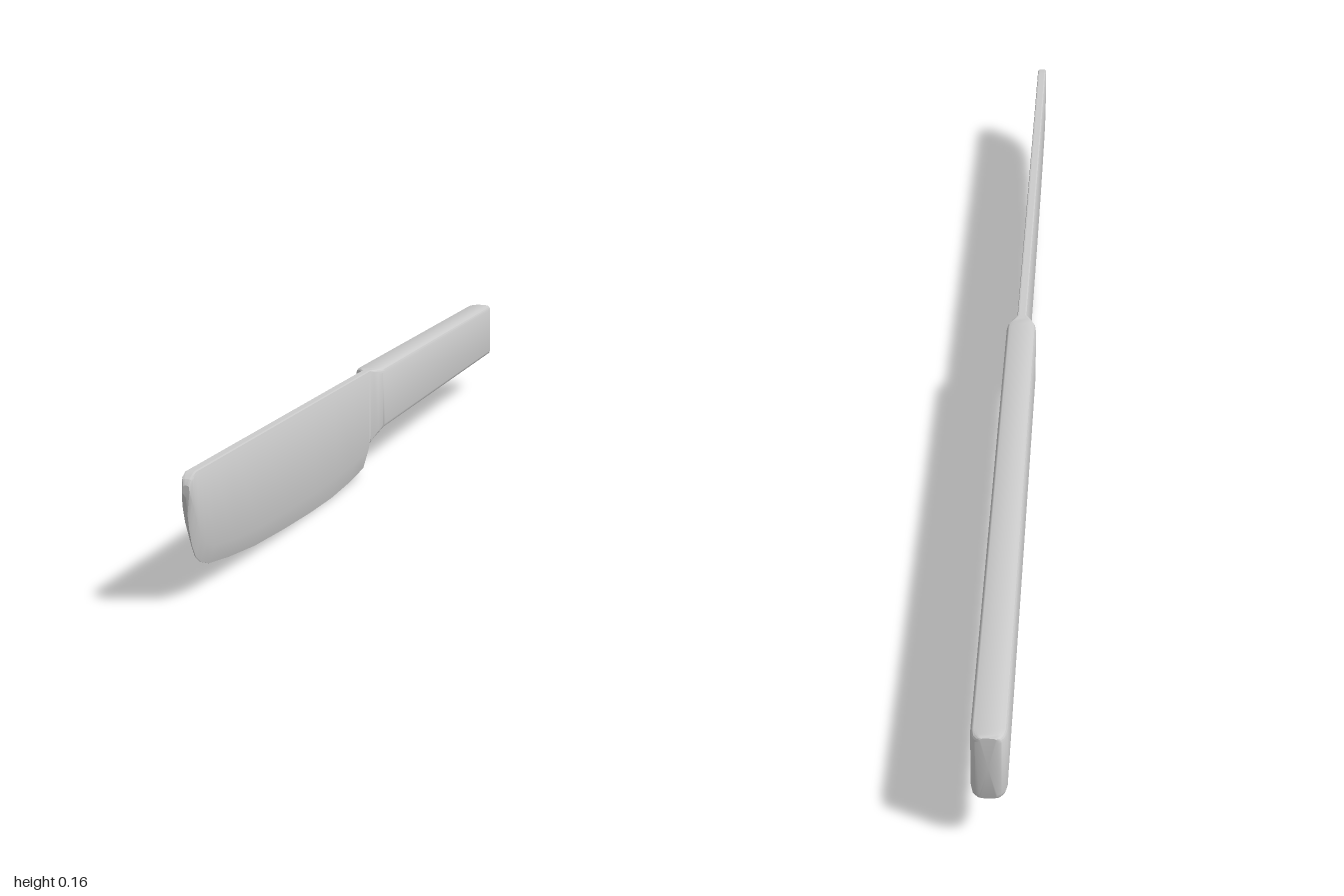
import * as THREE from 'three';
import { toCreasedNormals } from 'three/addons/utils/BufferGeometryUtils.js';

const TOP = 0.158;

// Skin a list of { z, ring } sections (rings counter-clockwise seen from +z) and cap both ends
function loft(sections, crease) {
  const positions = [], index = [];
  const n = sections[0].ring.length;
  for (const { z, ring } of sections) for (const [x, y] of ring) positions.push(x, y, z);
  for (let i = 0; i < sections.length - 1; i++) {
    for (let j = 0; j < n; j++) {
      const a = i * n + j, b = i * n + (j + 1) % n;
      index.push(a, b, b + n, a, b + n, a + n);
    }
  }
  for (const end of [0, sections.length - 1]) {
    const { z, ring } = sections[end];
    const ys = ring.map(p => p[1]);
    const centre = positions.length / 3;
    positions.push(0, (Math.min(...ys) + Math.max(...ys)) / 2, z);
    for (let j = 0; j < n; j++) {
      const a = end * n + j, b = end * n + (j + 1) % n;
      if (end === 0) index.push(centre, b, a);
      else index.push(centre, a, b);
    }
  }
  const geometry = new THREE.BufferGeometry();
  geometry.setAttribute('position', new THREE.Float32BufferAttribute(positions, 3));
  geometry.setIndex(index);
  return toCreasedNormals(geometry, crease);
}

// Complete a right-hand half section (bottom to top) with its mirror image
function mirrored(half) {
  return [...half, ...half.slice().reverse().map(([x, y]) => [-x, y])];
}

// Rounded rectangle section of the handle
function handleRing(w, bottom, top) {
  const r = Math.min(0.007, w * 0.5), half = [];
  for (const [cy, start] of [[bottom + r, -Math.PI / 2], [top - r, 0]]) {
    for (let k = 0; k <= 4; k++) {
      const a = start + (k / 4) * Math.PI / 2;
      half.push([w - r + r * Math.cos(a), cy + r * Math.sin(a)]);
    }
  }
  return mirrored(half);
}

// Blade section: softened spine, flat sides, bevel down to a sharp edge
function bladeRing(w, edge, bevel, top) {
  const c = Math.min(0.003, (top - bevel) * 0.3);
  return mirrored([[0.0004, edge], [w, bevel], [w, top - c], [w - c * 0.3, top - c * 0.3], [w - c, top]]);
}

export function createModel() {
  const group = new THREE.Group();
  const material = new THREE.MeshStandardMaterial({ color: 0xcccccc });
  const add = (name, geometry) => {
    const mesh = new THREE.Mesh(geometry, material);
    mesh.name = name;
    group.add(mesh);
  };

  // Handle with rounded butt, narrowing at the front into the blade: z, half width, bottom
  const handle = [
    [-1, 0.011, 0.066], [-0.998, 0.016, 0.065], [-0.992, 0.02, 0.064], [-0.98, 0.0225, 0.064],
    [-0.005, 0.0225, 0.064], [0.008, 0.021, 0.062], [0.02, 0.016, 0.055],
    [0.028, 0.011, 0.049], [0.034, 0.007, 0.044],
  ];
  add('handle', loft(handle.map(([z, w, bottom]) => ({ z, ring: handleRing(w, bottom, TOP) })), 0.6));

  // Blade from heel to rounded tip: z, half thickness, edge, bevel start, spine
  const blade = [
    [0.02, 0.0075, 0.054, 0.062, TOP], [0.036, 0.0075, 0.044, 0.056, TOP],
    [0.042, 0.0075, 0.034, 0.048, TOP], [0.05, 0.0075, 0.013, 0.038, TOP],
    [0.056, 0.0075, 0.009, 0.035, TOP], [0.15, 0.0075, 0.003, 0.031, TOP],
    [0.27, 0.0075, 0, 0.03, TOP], [0.4, 0.0075, 0.002, 0.03, TOP],
    [0.55, 0.0075, 0.007, 0.033, TOP], [0.7, 0.0075, 0.014, 0.038, TOP],
    [0.82, 0.0075, 0.024, 0.046, TOP], [0.91, 0.0075, 0.034, 0.056, TOP],
    [0.945, 0.0075, 0.043, 0.066, TOP], [0.965, 0.0075, 0.053, 0.08, TOP],
    [0.98, 0.0075, 0.07, 0.097, TOP], [0.99, 0.007, 0.09, 0.115, 0.155],
    [0.996, 0.006, 0.109, 0.126, 0.151], [1, 0.004, 0.13, 0.135, 0.144],
  ];
  add('blade', loft(blade.map(([z, w, edge, bevel, top]) => ({ z, ring: bladeRing(w, edge, bevel, top) })), 0.5));

  return group;
}
